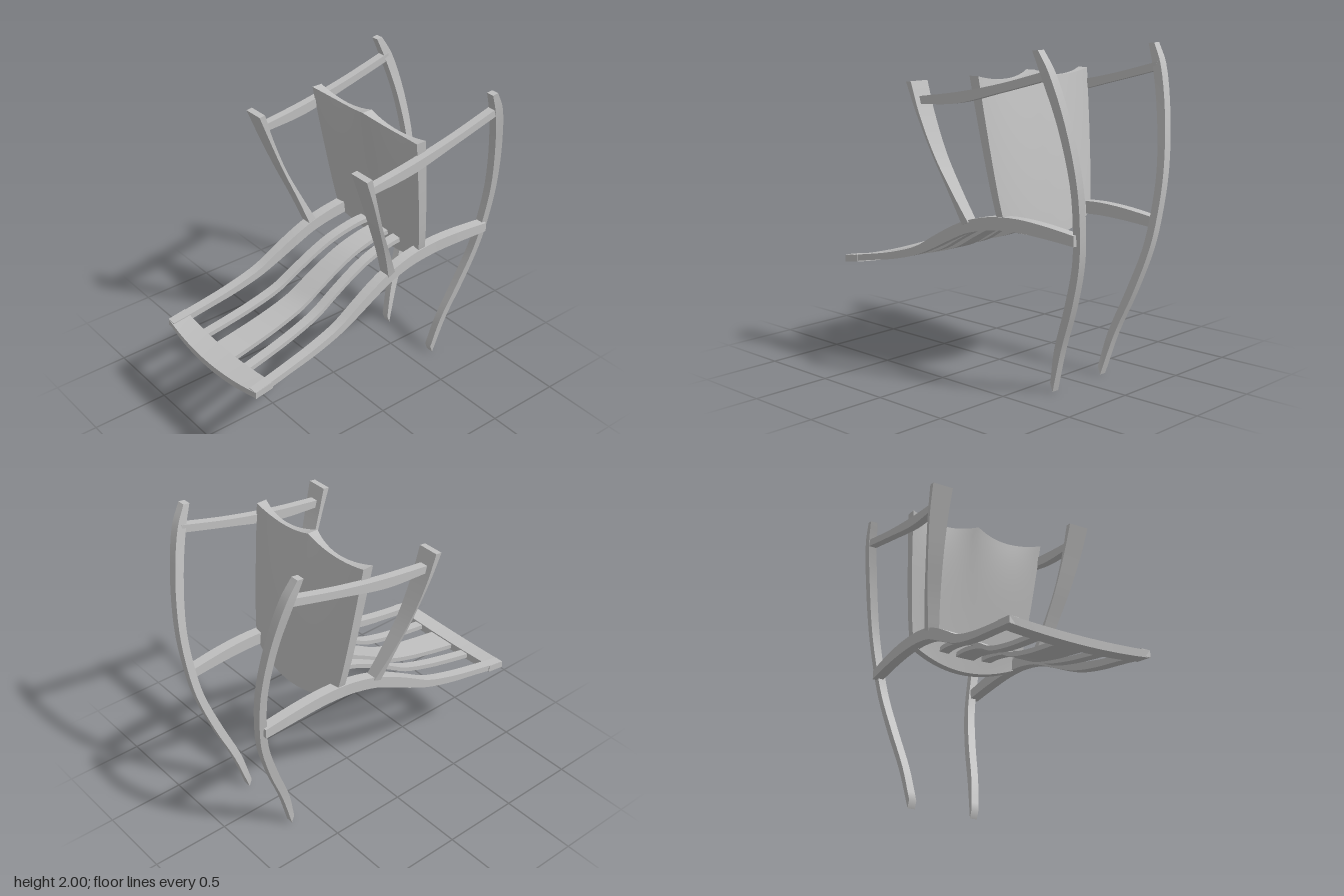
import * as THREE from 'three';
import { toCreasedNormals } from 'three/addons/utils/BufferGeometryUtils.js';

const grey = new THREE.MeshStandardMaterial({ color: 0xbfbfbf });
grey.name = 'plain grey';

// Solid skinned over closed cross-sections, each a loop of [x, y, z]
function loft(name, sections) {
  const m = sections[0].length, n = sections.length;
  const pos = sections.flat(2), idx = [];
  const quad = (a, b, c, d) => idx.push(a, b, c, a, c, d);
  for (let i = 0; i < n - 1; i++)
    for (let j = 0; j < m; j++) {
      const k = (j + 1) % m;
      quad(i * m + j, i * m + k, (i + 1) * m + k, (i + 1) * m + j);
    }
  const e = (n - 1) * m;
  for (let j = 0; j < m / 2 - 1; j++) {
    quad(j, m - 1 - j, m - 2 - j, j + 1);
    quad(e + j, e + j + 1, e + m - 2 - j, e + m - 1 - j);
  }
  // Turn all faces outward, whichever way the sections run
  const v = i => new THREE.Vector3().fromArray(pos, i * 3);
  let volume = 0;
  for (let i = 0; i < idx.length; i += 3)
    volume += v(idx[i]).dot(v(idx[i + 1]).cross(v(idx[i + 2])));
  if (volume < 0) idx.reverse();
  const geo = new THREE.BufferGeometry();
  geo.setAttribute('position', new THREE.Float32BufferAttribute(pos, 3));
  geo.setIndex(idx);
  const mesh = new THREE.Mesh(toCreasedNormals(geo, 0.6), grey);
  mesh.name = name;
  return mesh;
}

// Smooth four-cornered bar through a few key sections
function bar(name, keys, steps = 32) {
  const curves = [0, 1, 2, 3].map(c =>
    new THREE.CatmullRomCurve3(keys.map(k => new THREE.Vector3(...k[c]))));
  const sections = [];
  for (let i = 0; i <= steps; i++)
    sections.push(curves.map(c => c.getPoint(i / steps).toArray()));
  return loft(name, sections);
}

// Key section from [z, y of one edge, z, y of the other, inner x, outer x]
const section = (s = 1) => ([za, ya, zb, yb, xi, xo]) =>
  [[s * xi, ya, za], [s * xo, ya, za], [s * xo, yb, zb], [s * xi, yb, zb]];

const sideRail = [
  [0.94, 0.605, 0.94, 0.56, 0.40, 0.46], [0.7, 0.648, 0.7, 0.608, 0.387, 0.449],
  [0.5, 0.692, 0.5, 0.645, 0.378, 0.441], [0.3, 0.755, 0.3, 0.70, 0.368, 0.432],
  [0.15, 0.84, 0.15, 0.765, 0.36, 0.425], [0, 0.92, 0, 0.84, 0.35, 0.418],
  [-0.12, 0.97, -0.12, 0.893, 0.344, 0.412], [-0.3, 1.013, -0.3, 0.935, 0.337, 0.403],
  [-0.5, 1.028, -0.5, 0.95, 0.335, 0.40], [-0.7, 1.018, -0.7, 0.945, 0.333, 0.40],
  [-0.93, 0.99, -0.93, 0.928, 0.33, 0.395],
];
const backLeg = [
  [-0.638, 0.05, -0.657, 0, 0.195, 0.245], [-0.69, 0.27, -0.74, 0.27, 0.222, 0.272],
  [-0.79, 0.53, -0.845, 0.53, 0.256, 0.308], [-0.88, 0.8, -0.93, 0.8, 0.295, 0.348],
  [-0.91, 1.0, -0.96, 1.0, 0.325, 0.378], [-0.92, 1.27, -0.97, 1.27, 0.365, 0.42],
  [-0.872, 1.6, -0.93, 1.6, 0.42, 0.475], [-0.8, 1.86, -0.855, 1.88, 0.468, 0.525],
  [-0.75, 1.995, -0.79, 2.0, 0.49, 0.54],
];
const armrest = [
  [0.17, 1.69, 0.15, 1.645, 0.468, 0.52], [-0.15, 1.735, -0.15, 1.67, 0.468, 0.52],
  [-0.48, 1.80, -0.48, 1.75, 0.468, 0.52], [-0.83, 1.89, -0.82, 1.838, 0.468, 0.52],
];
const armPost = [
  [0.22, 1.775, 0.18, 1.78, 0.43, 0.565], [0.155, 1.6, 0.125, 1.59, 0.425, 0.55],
  [0.07, 1.37, 0.04, 1.35, 0.408, 0.513], [-0.02, 1.14, -0.06, 1.13, 0.377, 0.464],
  [-0.09, 0.94, -0.14, 0.96, 0.345, 0.418],
];

// Seat slat following the side rails, tapering towards the back
function slat(name, front, back, drop) {
  const keys = [[0.85, 0.62], ...sideRail.slice(1, 8), [-0.4, 1.02]].map(([z, y]) => {
    const t = (0.85 - z) / 1.2;
    const x = [0, 1].map(i => THREE.MathUtils.lerp(front[i], back[i], t));
    return section()([z, y - drop, z, y - drop - 0.03, ...x]);
  });
  return bar(name, keys);
}

// Front rail, bowed forwards and downwards in the middle
function frontRail() {
  const sections = [];
  for (let i = 0; i <= 20; i++) {
    const u = i / 10 - 1, b = 1 - u * u, x = u * 0.46;
    sections.push([
      [x, 0.625 - 0.025 * b, 0.82 + 0.015 * b], [x, 0.605 - 0.035 * b, 0.94 + 0.03 * b],
      [x, 0.562 - 0.042 * b, 0.935 + 0.03 * b], [x, 0.58 - 0.035 * b, 0.82 + 0.015 * b],
    ]);
  }
  return loft('frontRail', sections);
}

// Back cushion: leaning, bowed backwards, scalloped along the top
function backCushion() {
  const sections = [], rows = 20;
  for (let i = 0; i <= 32; i++) {
    const u = i / 16 - 1, a = Math.abs(u);
    const scallop = (2 * a - 1) ** 2;
    const top = 1.80 + (a < 0.5 ? 0.04 : 0.03) * scallop;
    const bottom = 0.87 + 0.08 * a * a;
    const front = [], back = [];
    for (let j = 0; j <= rows; j++) {
      const v = j / rows;
      const x = u * (0.37 + 0.11 * v ** 0.6);
      const y = THREE.MathUtils.lerp(bottom, top, v);
      const bow = 0.045 * (1 - v * v) * (1 - u * u);
      const z = -0.36 + 0.14 * v - bow;
      front.push([x, y, z - 0.04 * v ** 4 * (1 - scallop)]);
      back.unshift([x, y, z - 0.05 - 0.02 * v]);
    }
    sections.push([...front, ...back]);
  }
  return loft('backCushion', sections);
}

export function createModel() {
  const chair = new THREE.Group();
  chair.name = 'chair';

  // Mirrored side frames
  for (const [side, s] of [['left', 1], ['right', -1]]) {
    const frame = new THREE.Group();
    frame.name = side + 'Frame';
    for (const [name, keys] of Object.entries({ sideRail, backLeg, armrest, armPost }))
      frame.add(bar(name, keys.map(section(s))));
    chair.add(frame);
  }

  // Seat and back
  chair.add(
    frontRail(),
    slat('centreSlat', [-0.095, 0.095], [-0.065, 0.065], 0.032),
    slat('leftSlat', [0.188, 0.247], [0.122, 0.188], 0.025),
    slat('rightSlat', [-0.247, -0.188], [-0.188, -0.122], 0.025),
    backCushion(),
  );
  return chair;
}
